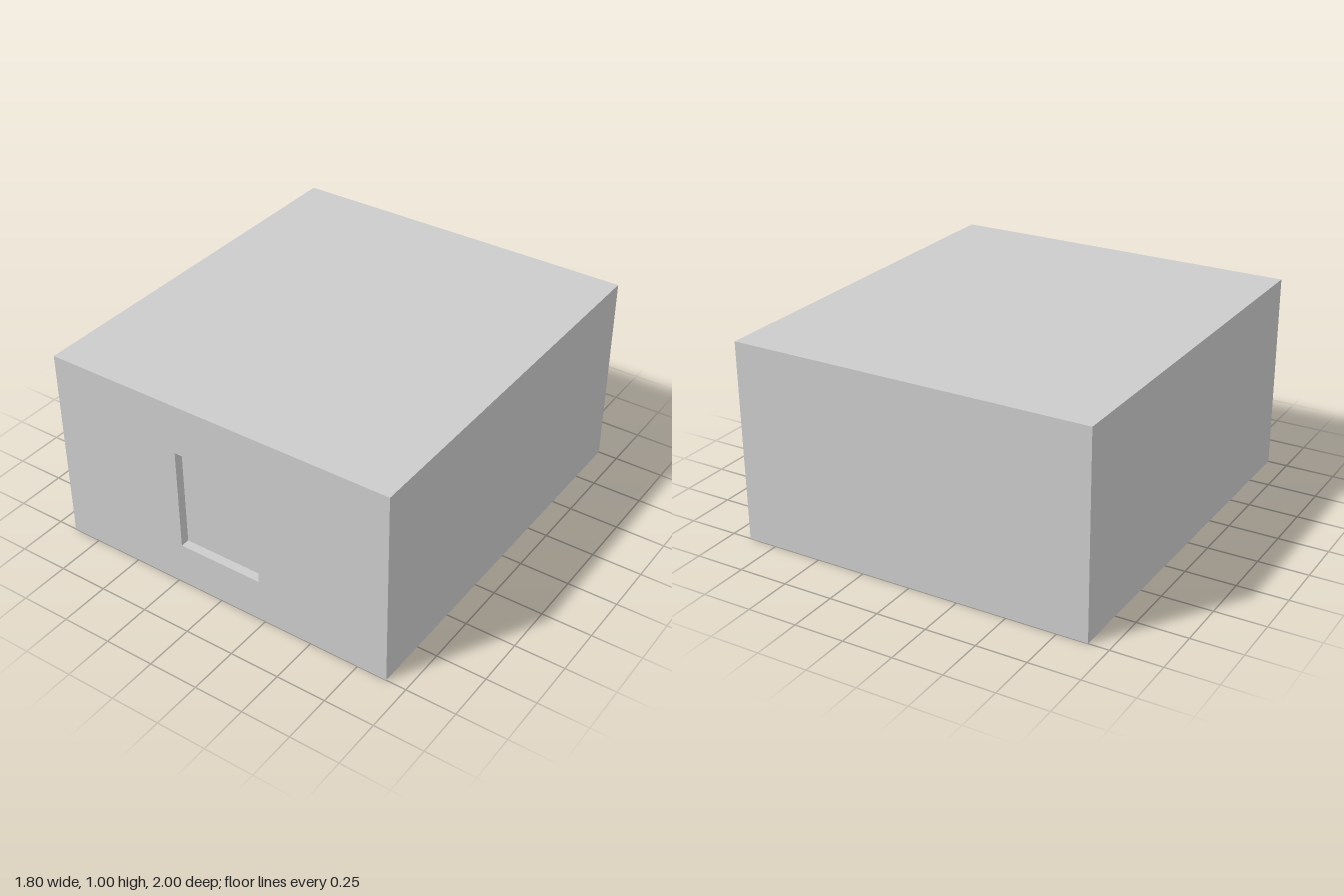
import * as THREE from 'three';

const W = 1.8, H = 1, D = 2;
const win = { half: 0.22, bottom: 0.22, top: 0.745, depth: 0.045 };

export function createModel() {
  const model = new THREE.Group();
  const solid = new THREE.MeshStandardMaterial({ color: 0xcccccc, flatShading: true });
  const sheet = new THREE.MeshStandardMaterial({ color: 0xcccccc, flatShading: true, side: THREE.DoubleSide });

  function add(name, geometry, material, [x, y, z], [rx, ry] = [0, 0]) {
    const mesh = new THREE.Mesh(geometry, material);
    mesh.name = name;
    mesh.position.set(x, y, z);
    mesh.rotation.set(rx, ry, 0);
    model.add(mesh);
    return mesh;
  }

  // Outer shell: thin walls and roof, open underneath
  add('roof', new THREE.PlaneGeometry(W, D), sheet, [0, H, 0], [-Math.PI / 2, 0]);
  add('backWall', new THREE.PlaneGeometry(W, H), sheet, [0, H / 2, -D / 2], [0, Math.PI]);
  for (const s of [-1, 1]) {
    add(s > 0 ? 'leftWall' : 'rightWall', new THREE.PlaneGeometry(D, H), sheet,
      [s * W / 2, H / 2, 0], [0, s * Math.PI / 2]);
  }

  // Front wall with the window opening
  const front = new THREE.Shape([[-W / 2, 0], [W / 2, 0], [W / 2, H], [-W / 2, H]]
    .map(([x, y]) => new THREE.Vector2(x, y)));
  front.holes.push(new THREE.Path([
    [-win.half, win.bottom], [-win.half, win.top], [win.half, win.top], [win.half, win.bottom],
  ].map(([x, y]) => new THREE.Vector2(x, y))));
  add('frontWall', new THREE.ShapeGeometry(front), sheet, [0, 0, D / 2]);

  // Window reveal: sill, head and two jambs
  const midY = (win.bottom + win.top) / 2, winH = win.top - win.bottom;
  const revealZ = D / 2 - win.depth / 2;
  add('windowSill', new THREE.PlaneGeometry(win.half * 2, win.depth), sheet,
    [0, win.bottom, revealZ], [-Math.PI / 2, 0]);
  add('windowHead', new THREE.PlaneGeometry(win.half * 2, win.depth), sheet,
    [0, win.top, revealZ], [Math.PI / 2, 0]);
  for (const s of [-1, 1]) {
    add('windowJamb', new THREE.PlaneGeometry(win.depth, winH), sheet,
      [s * win.half, midY, revealZ], [0, -s * Math.PI / 2]);
    // Paired panes meeting in the middle
    add('windowPane', new THREE.BoxGeometry(win.half, winH, 0.02), solid,
      [s * win.half / 2, midY, D / 2 - win.depth - 0.01]);
  }

  // Inner core with stepped corners, mirrored into all four quadrants
  const steps = [[0.79, 0.62], [0.57, 0.62], [0.57, 0.75], [0.455, 0.75], [0.455, 0.88]];
  const outline = [];
  for (const [sx, sy] of [[1, 1], [-1, 1], [-1, -1], [1, -1]]) {
    const corner = steps.map(([x, y]) => new THREE.Vector2(x * sx, y * sy));
    outline.push(...(sx * sy > 0 ? corner : corner.reverse()));
  }
  const core = new THREE.ExtrudeGeometry(new THREE.Shape(outline), { depth: 0.9, bevelEnabled: false });
  core.rotateX(-Math.PI / 2);
  add('innerCore', core, solid, [0, 0, 0]);

  return model;
}
